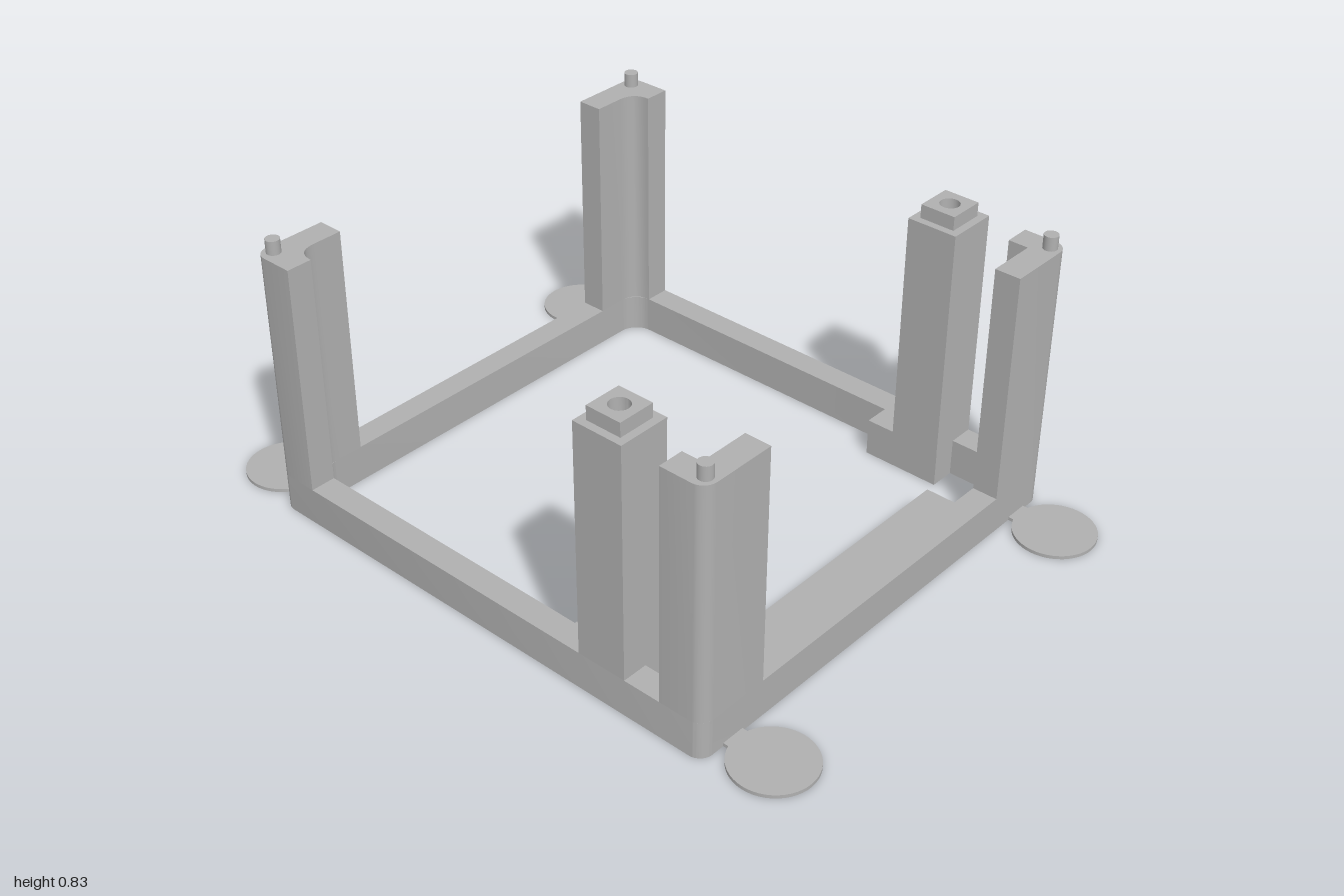
import * as THREE from 'three';
import { toCreasedNormals } from 'three/addons/utils/BufferGeometryUtils.js';

const W = 0.708, D = 0.76;        // outer half width and half depth
const IX = 0.633, IZ = 0.685;     // inner half width and half depth
const BASE = 0.11, TOP = 0.79, PEG = 0.83;
const R = 0.04, FILLET = 0.06;
const POST_X = 0.632, POST_Z = 0.44;

export function createModel() {
  const model = new THREE.Group();
  model.name = 'stackingFrame';
  const grey = new THREE.MeshStandardMaterial({ color: 0xb0b0b0 });
  grey.name = 'plain grey';

  const add = (geometry, name) => {
    const mesh = new THREE.Mesh(geometry, grey);
    mesh.name = name;
    model.add(mesh);
    return mesh;
  };

  // Plan outlines are drawn as (x, -z) and raised from y0 to y1
  const raise = (shape, y0, y1, name) => {
    const g = new THREE.ExtrudeGeometry(shape, { depth: y1 - y0, bevelEnabled: false, curveSegments: 10 });
    g.rotateX(-Math.PI / 2).translate(0, y0, 0);
    return add(toCreasedNormals(g, 0.5), name);
  };

  const hole = (x, z, r) => new THREE.Path().absarc(x, -z, r, 0, Math.PI * 2, true);

  const rect = (x, z, w, d) => new THREE.Shape([
    [x - w / 2, -z - d / 2], [x + w / 2, -z - d / 2],
    [x + w / 2, -z + d / 2], [x - w / 2, -z + d / 2],
  ].map(([a, b]) => new THREE.Vector2(a, b)));

  // Base ring: rounded outside, fillets at the back inside, pads at the sides
  const ring = new THREE.Shape();
  ring.absarc(W - R, D - R, R, 0, Math.PI / 2);
  ring.absarc(-W + R, D - R, R, Math.PI / 2, Math.PI);
  ring.absarc(-W + R, -D + R, R, Math.PI, Math.PI * 1.5);
  ring.absarc(W - R, -D + R, R, Math.PI * 1.5, Math.PI * 2);
  ring.closePath();
  const inner = new THREE.Path();
  const pad = [[IX, 0.28], [0.557, 0.28], [0.557, 0.515], [IX, 0.515], [IX, IZ]];
  inner.moveTo(-IX, -IZ);
  [...pad].reverse().forEach(([x, z]) => inner.lineTo(x, -z));
  inner.absarc(IX - FILLET, IZ - FILLET, FILLET, 0, Math.PI / 2);
  inner.absarc(-IX + FILLET, IZ - FILLET, FILLET, Math.PI / 2, Math.PI);
  pad.forEach(([x, z]) => inner.lineTo(-x, -z));
  ring.holes.push(inner, hole(POST_X, POST_Z, 0.04), hole(-POST_X, POST_Z, 0.04));
  raise(ring, 0, BASE, 'baseFrame');

  // Sloped ledge behind the front bar
  const wedge = new THREE.Shape();
  wedge.moveTo(-IZ, BASE);
  wedge.lineTo(-0.597, BASE);
  wedge.lineTo(-0.597, BASE - 0.015);
  wedge.lineTo(-IZ, 0.01);
  const ledge = new THREE.ExtrudeGeometry(wedge, { depth: 0.8, bevelEnabled: false });
  ledge.translate(0, 0, -0.4).rotateY(Math.PI / 2);
  add(ledge, 'frontLedge');

  for (const sx of [1, -1]) {
    const side = sx > 0 ? 'left' : 'right';
    for (const sz of [1, -1]) {
      const end = sz > 0 ? 'Front' : 'Back';

      // L-shaped corner column
      const s = new THREE.Shape();
      const to = (x, z) => s.lineTo(sx * x, -sz * z);
      const curve = (cx, cz, x, z) => s.quadraticCurveTo(sx * cx, -sz * cz, sx * x, -sz * z);
      s.moveTo(sx * 0.487, -sz * D);
      to(W - R, D);
      for (let i = 1; i <= 8; i++) {
        const a = (i / 8) * Math.PI / 2;
        to(W - R + R * Math.sin(a), D - R + R * Math.cos(a));
      }
      to(W, 0.627);
      to(IX, 0.627);
      if (sz < 0) {
        curve(IX, IZ, IX - FILLET, IZ);
      } else {
        to(IX, IZ);
      }
      to(0.487, IZ);
      raise(s, BASE, TOP, side + end + 'Column');

      // Locating pin
      const pin = new THREE.CylinderGeometry(0.02, 0.02, PEG - TOP, 24);
      add(pin, side + end + 'Pin').position.set(sx * 0.67, (TOP + PEG) / 2, sz * 0.728);

      // Round foot with a short neck
      const foot = new THREE.CylinderGeometry(0.115, 0.115, 0.01, 48);
      add(foot, side + end + 'Foot').position.set(sx * 0.595, 0.005, sz * 0.885);
      const neck = new THREE.BoxGeometry(0.07, 0.0096, 0.04);
      add(neck, side + end + 'FootNeck').position.set(sx * 0.595, 0.005, sz * 0.77);
    }

    // Bored side post with a square peg
    const post = rect(sx * POST_X, POST_Z, 0.152, 0.15);
    post.holes.push(hole(sx * POST_X, POST_Z, 0.028));
    raise(post, BASE, TOP, side + 'Post');
    const peg = rect(sx * POST_X, POST_Z, 0.108, 0.105);
    peg.holes.push(hole(sx * POST_X, POST_Z, 0.028));
    raise(peg, TOP, PEG, side + 'PostPeg');
  }
  return model;
}
